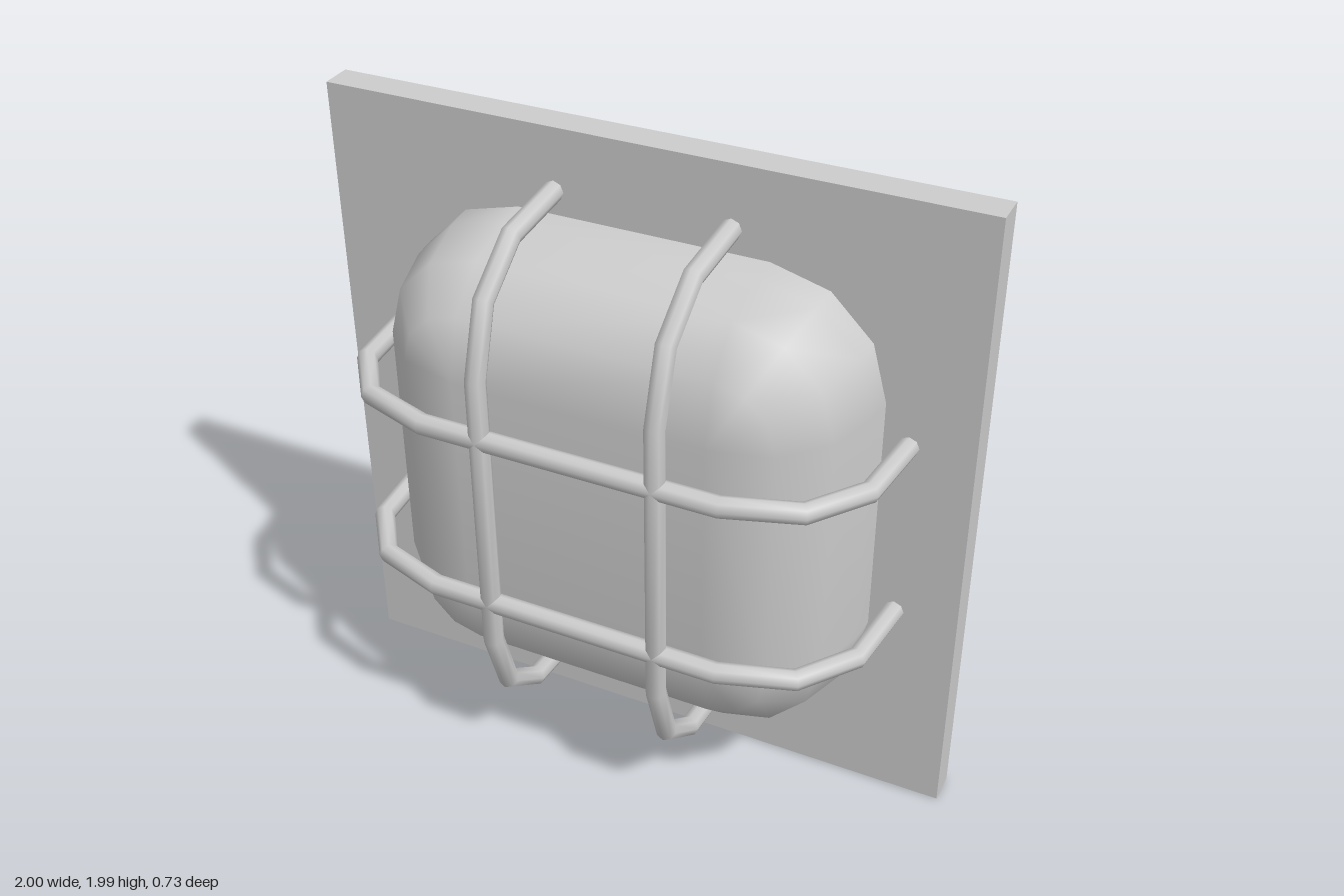
import * as THREE from 'three';
import { mergeVertices } from 'three/addons/utils/BufferGeometryUtils.js';

// Straight-segment path with mitred bends
class BentPath extends THREE.Curve {
  constructor(points) {
    super();
    this.points = points;
  }
  getPoint(t, target = new THREE.Vector3()) {
    const p = this.points, f = t * (p.length - 1);
    const i = Math.min(Math.floor(f + 1e-6), p.length - 2);
    return target.lerpVectors(p[i], p[i + 1], f - i);
  }
  getPointAt(u, target) {
    return this.getPoint(u, target);
  }
  getTangentAt(u, target = new THREE.Vector3()) {
    const p = this.points, i = Math.round(u * (p.length - 1));
    target.set(0, 0, 0);
    if (i > 0) target.add(p[i].clone().sub(p[i - 1]).normalize());
    if (i < p.length - 1) target.add(p[i + 1].clone().sub(p[i]).normalize());
    return target.normalize();
  }
}

// Rounded-square dome: stacked loops whose corner radius shrinks to a flat front
function domeGeometry() {
  const core = 0.38;
  const profile = [[0.727, 0], [0.72, 0.08], [0.675, 0.245], [0.56, 0.365], [core, 0.412]];
  const steps = 3, n = 4 * (steps + 1);
  const pos = [], index = [];
  for (const [half, z] of profile) {
    for (let c = 0; c < 4; c++) {
      const mid = Math.PI / 4 + c * Math.PI / 2;
      for (let s = 0; s <= steps; s++) {
        const a = (c + s / steps) * Math.PI / 2;
        const r = half - core;
        pos.push(Math.sign(Math.cos(mid)) * core + r * Math.cos(a),
          Math.sign(Math.sin(mid)) * core + r * Math.sin(a), z);
      }
    }
  }
  for (let j = 0; j < profile.length - 1; j++) {
    for (let i = 0; i < n; i++) {
      const k = (i + 1) % n;
      const a = j * n + i, b = j * n + k, c = b + n, d = a + n;
      index.push(a, b, c);
      if (j < profile.length - 2 || k % (steps + 1) === 0) index.push(a, c, d);
    }
  }
  // flat front
  const f = (profile.length - 1) * n, q = steps + 1;
  index.push(f, f + q, f + 2 * q, f, f + 2 * q, f + 3 * q);
  const geo = new THREE.BufferGeometry();
  geo.setAttribute('position', new THREE.Float32BufferAttribute(pos, 3));
  geo.setIndex(index);
  const merged = mergeVertices(geo);
  merged.computeVertexNormals();
  return merged;
}

export function createModel() {
  const material = new THREE.MeshStandardMaterial({ color: 0xcccccc });
  const barMaterial = new THREE.MeshStandardMaterial({ color: 0xcccccc, side: THREE.DoubleSide });
  const model = new THREE.Group();
  model.name = 'bulkheadLamp';

  // Whole lamp sits slightly tilted; its local z = 0 is the plate's front face
  const lamp = new THREE.Group();
  lamp.name = 'lamp';
  lamp.position.set(0.002, 0.9975, -0.172);
  lamp.rotation.set(0.053, 0.05, -0.007, 'YXZ');
  model.add(lamp);

  const add = (name, geometry, mat = material) => {
    const mesh = new THREE.Mesh(geometry, mat);
    mesh.name = name;
    lamp.add(mesh);
    return mesh;
  };

  add('backPlate', new THREE.BoxGeometry(1.978, 1.978, 0.096)).position.z = -0.048;
  add('dome', domeGeometry());

  // Guard bars: one bent profile, mirrored end to end
  const half = [[0.8, -0.01], [0.778, 0.24], [0.66, 0.4], [0.45, 0.468]];
  const profile = [...half.map(([u, z]) => [-u, z]), ...half.slice().reverse()];
  const bar = (name, place) => {
    const path = new BentPath(profile.map(([u, z]) => place(u, z)));
    add(name, new THREE.TubeGeometry(path, profile.length - 1, 0.031, 8), barMaterial);
  };
  for (const x of [-0.266, 0.266]) bar('verticalGuardBar', (u, z) => new THREE.Vector3(x, u, z));
  for (const y of [-0.31, 0.26]) bar('horizontalGuardBar', (u, z) => new THREE.Vector3(u, y, z));

  return model;
}
